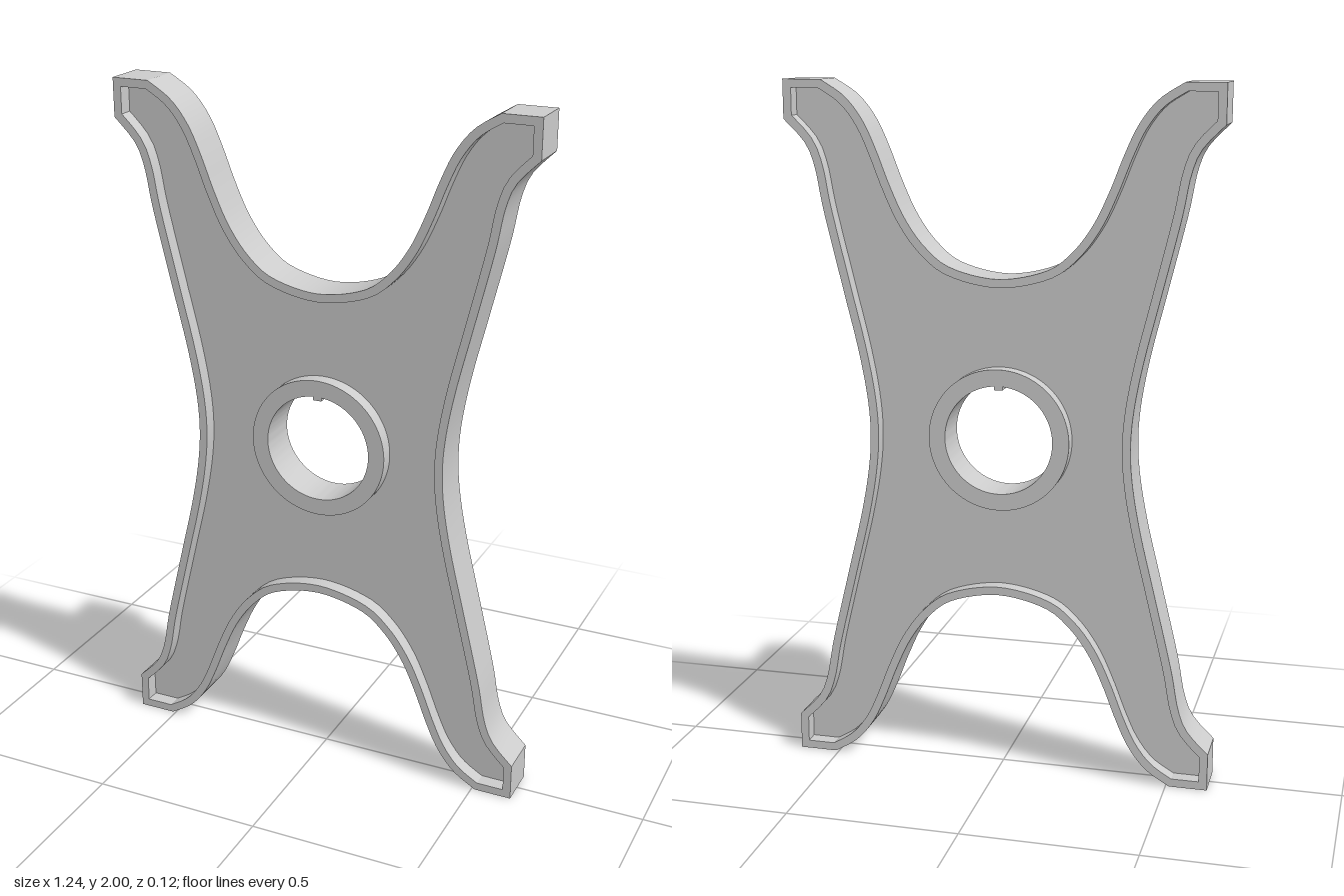
import * as THREE from 'three';
import { toCreasedNormals } from 'three/addons/utils/BufferGeometryUtils.js';

const DEPTH = 0.125, WEB = 0.04, RIM = 0.024;
const HUB_OUTER = 0.205, HUB_INNER = 0.157;

const V = (x, y) => new THREE.Vector2(x, y);

// Smooth curve through points, sampled evenly
const smooth = (pts, n) => new THREE.SplineCurve(pts).getSpacedPoints(n);

// Closed counter-clockwise outline, centred on the hub
function makeOutline() {
  const sideHalf = [[0.38, 0], [0.388, 0.11], [0.413, 0.247], [0.455, 0.42], [0.508, 0.64],
    [0.53, 0.755], [0.558, 0.825], [0.62, 0.89]];
  const archHalf = [[0.51, 1], [0.44, 0.955], [0.388, 0.89], [0.35, 0.81], [0.312, 0.713],
    [0.268, 0.62], [0.21, 0.542], [0.135, 0.487], [0, 0.46]];
  const side = [
    ...sideHalf.slice(1).reverse().map(([x, y]) => V(x, -y)),
    ...sideHalf.map(([x, y]) => V(x, y)),
  ];
  const arch = [
    ...archHalf.map(([x, y]) => V(x, y)),
    ...archHalf.slice(0, -1).reverse().map(([x, y]) => V(-x, y)),
  ];
  const half = [...smooth(side, 64), V(0.62, 1), ...smooth(arch, 64), V(-0.62, 1)];
  return [...half, ...half.map((p) => V(-p.x, -p.y))];
}

// Mitred inward offset of a counter-clockwise outline
function inset(pts, d) {
  const n = pts.length;
  const normal = (a, b) => V(a.y - b.y, b.x - a.x).normalize();
  return pts.map((p, i) => {
    const n1 = normal(pts[(i + n - 1) % n], p);
    const n2 = normal(p, pts[(i + 1) % n]);
    const m = n1.clone().add(n2);
    return p.clone().addScaledVector(m, d / (1 + n1.dot(n2)));
  });
}

function circlePath(r) {
  return new THREE.Path().absarc(0, 0, r, 0, Math.PI * 2, true);
}

function extrude(shape, depth) {
  const g = new THREE.ExtrudeGeometry(shape, { depth, bevelEnabled: false, curveSegments: 64 });
  g.translate(0, 0, -depth / 2);
  return toCreasedNormals(g, 0.5);
}

export function createModel() {
  const group = new THREE.Group();
  group.name = 'spiderPlate';
  const material = new THREE.MeshStandardMaterial({ color: 0xcccccc });
  const add = (name, geometry) => {
    const mesh = new THREE.Mesh(geometry, material);
    mesh.name = name;
    mesh.position.y = 1;
    group.add(mesh);
    return mesh;
  };

  const outer = makeOutline();
  const inner = inset(outer, RIM);

  // Raised rim following the four-armed outline
  const rim = new THREE.Shape(outer);
  rim.holes.push(new THREE.Path(inner));
  add('rim', extrude(rim, DEPTH));

  // Recessed web faces, front and back
  const web = new THREE.Shape(inner);
  web.holes.push(circlePath(HUB_OUTER));
  const face = new THREE.ShapeGeometry(web, 64);
  add('webFront', face.clone().translate(0, 0, WEB / 2));
  add('webBack', face.clone().rotateY(Math.PI).translate(0, 0, -WEB / 2));

  // Hub ring with a small key at the top of the bore
  const hub = new THREE.Shape().absarc(0, 0, HUB_OUTER, 0, Math.PI * 2, false);
  const keyAngle = 0.08, keyX = HUB_INNER * Math.sin(keyAngle), keyY = 0.146;
  const bore = new THREE.Path();
  bore.absarc(0, 0, HUB_INNER, Math.PI / 2 + keyAngle, Math.PI * 2.5 - keyAngle, false);
  bore.lineTo(keyX, keyY);
  bore.lineTo(-keyX, keyY);
  bore.closePath();
  hub.holes.push(bore);
  add('hub', extrude(hub, DEPTH));

  return group;
}
